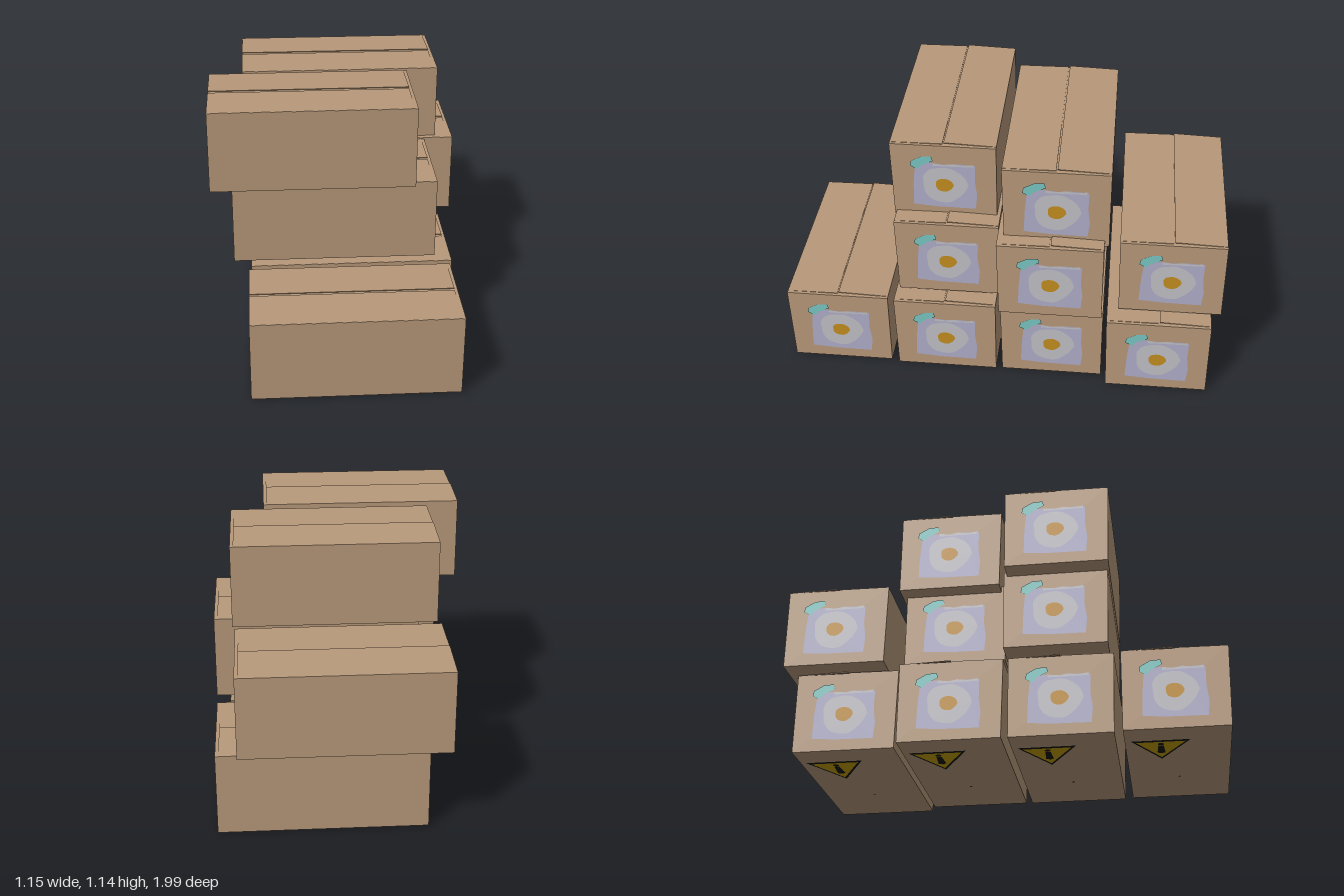
import * as THREE from 'three';

const mat = (name, color) => {
  const m = new THREE.MeshStandardMaterial({ color });
  m.name = name;
  return m;
};
const M = {
  card: mat('cardboard', 0xb8997a),
  paper: mat('lavenderPaper', 0xb0aecb),
  white: mat('eggWhite', 0xc2c1c7),
  yolk: mat('ochre', 0xc48e20),
  tape: mat('tealTape', 0x7bc8c4),
  yellow: mat('warningYellow', 0xc4a000),
  black: mat('black', 0x14120f),
};

const L = 0.905, D = 0.463, Y0 = 0.006, Y1 = 0.379;

function add(parent, name, geo, material, x = 0, y = 0, z = 0) {
  const m = new THREE.Mesh(geo, material);
  m.name = name;
  m.position.set(x, y, z);
  parent.add(m);
  return m;
}

const polygon = pts => new THREE.ShapeGeometry(new THREE.Shape(pts.map(p => new THREE.Vector2(...p))));

// smooth irregular blob
function blob(rx, ry, wobble) {
  const pts = [];
  for (let i = 0; i < 14; i++) {
    const a = i / 14 * Math.PI * 2;
    const r = 1 + wobble * Math.sin(a * 3 + 1) + wobble * 0.6 * Math.cos(a * 5);
    pts.push(new THREE.Vector2(Math.cos(a) * rx * r, Math.sin(a) * ry * r));
  }
  const shape = new THREE.Shape();
  shape.moveTo(pts[0].x, pts[0].y);
  shape.splineThru([...pts.slice(1), pts[0]]);
  return new THREE.ShapeGeometry(shape, 3);
}

// body whose +z wall leans slightly outward
function bodyGeometry() {
  const g = new THREE.BoxGeometry(L, Y1 - Y0, D);
  const p = g.attributes.position;
  for (let i = 0; i < p.count; i++) {
    if (p.getY(i) > 0) p.setZ(i, p.getZ(i) + (p.getZ(i) > 0 ? 0.01 : 0.003));
  }
  g.translate(0, (Y0 + Y1) / 2, 0);
  g.computeVertexNormals();
  return g;
}

const G = {
  body: bodyGeometry(),
  flap: new THREE.BoxGeometry(L - 0.015, 0.003, D / 2).translate(-0.007, 0, D / 4),
  paper: polygon([[-0.142, -0.112], [-0.03, -0.12], [0.138, -0.122], [0.145, -0.05], [0.136, 0.02],
    [0.138, 0.108], [0.06, 0.112], [0, 0.106], [-0.06, 0.113], [-0.128, 0.108], [-0.138, 0]]),
  strip: polygon([[-0.05, 0.098], [0.13, 0.1], [0.13, 0.113], [0.08, 0.106], [0.04, 0.113], [0, 0.106], [-0.05, 0.112]]),
  white: blob(0.1, 0.093, 0.05),
  yolk: blob(0.04, 0.034, 0.04),
  tape: polygon([[-0.15, 0.085], [-0.118, 0.068], [-0.1, 0.09], [-0.048, 0.115], [-0.055, 0.138], [-0.1, 0.135], [-0.145, 0.11]]),
  sign: polygon([[-0.115, -0.13], [0.115, 0], [-0.115, 0.13]]),
  signFill: polygon([[-0.101, -0.108], [0.089, 0], [-0.101, 0.108]]),
  stroke: polygon([[-0.05, -0.012], [0.035, -0.018], [0.045, 0], [0.035, 0.018], [-0.05, 0.012]]),
  dot: new THREE.CircleGeometry(0.014, 10),
  speck: new THREE.CircleGeometry(0.007, 8),
};

// taped paper picture of a fried egg on one end of the box
function endPicture(side) {
  const g = new THREE.Group();
  g.name = side > 0 ? 'leftPicture' : 'rightPicture';
  add(g, 'paper', G.paper, M.paper, 0, 0, 0.002);
  add(g, 'paperEdge', G.strip, M.white, 0, 0, 0.004);
  add(g, 'eggWhite', G.white, M.white, 0, 0, 0.004);
  add(g, 'yolk', G.yolk, M.yolk, 0, 0, 0.006);
  add(g, 'tape', G.tape, M.tape, 0, 0.01, 0.006);
  g.rotation.y = side * Math.PI / 2;
  g.position.set(side * L / 2, 0.178, side * 0.002);
  return g;
}

// warning triangle printed on the underside
function warningSign() {
  const g = new THREE.Group();
  g.name = 'warningSign';
  add(g, 'signBorder', G.sign, M.black, 0, 0, 0.002);
  add(g, 'signFill', G.signFill, M.yellow, 0, 0, 0.004);
  add(g, 'signStroke', G.stroke, M.black, -0.01, 0, 0.0055);
  add(g, 'signDot', G.dot, M.black, -0.078, 0, 0.0055);
  g.rotation.x = Math.PI / 2;
  g.position.set(-L / 2 + 0.25, Y0, -0.075);
  return g;
}

function carton(x, y, z) {
  const g = new THREE.Group();
  g.name = 'carton';
  add(g, 'body', G.body, M.card);
  // back flap rises to the middle seam, front flap lies almost flat
  const back = add(g, 'backFlap', G.flap, M.card, 0, Y1, -D / 2 + 0.003);
  back.rotation.x = -0.033;
  const front = add(g, 'frontFlap', G.flap, M.card, 0, Y1 - 0.0005, D / 2 + 0.009);
  front.rotation.set(0.01, 0, 0);
  front.scale.z = -1;
  g.add(endPicture(1), endPicture(-1), warningSign());
  const speck = add(g, 'bottomSpeck', G.speck, M.black, 0.16, Y0 - 0.002, 0);
  speck.rotation.x = Math.PI / 2;
  g.position.set(x, y, z);
  return g;
}

export function createModel() {
  const model = new THREE.Group();
  model.name = 'cartonStack';
  // left end x, base y, centre z of each carton
  const cartons = [
    [0.497, 0, 0.757], [0.51, 0, 0.257], [0.507, 0, -0.235], [0.567, 0, -0.722],
    [0.433, 0.393, 0.248], [0.567, 0.398, -0.225], [0.475, 0.383, -0.763],
    [0.337, 0.748, 0.266], [0.487, 0.742, -0.242],
  ];
  for (const [x, y, z] of cartons) model.add(carton(x - L / 2, y, z));
  return model;
}
